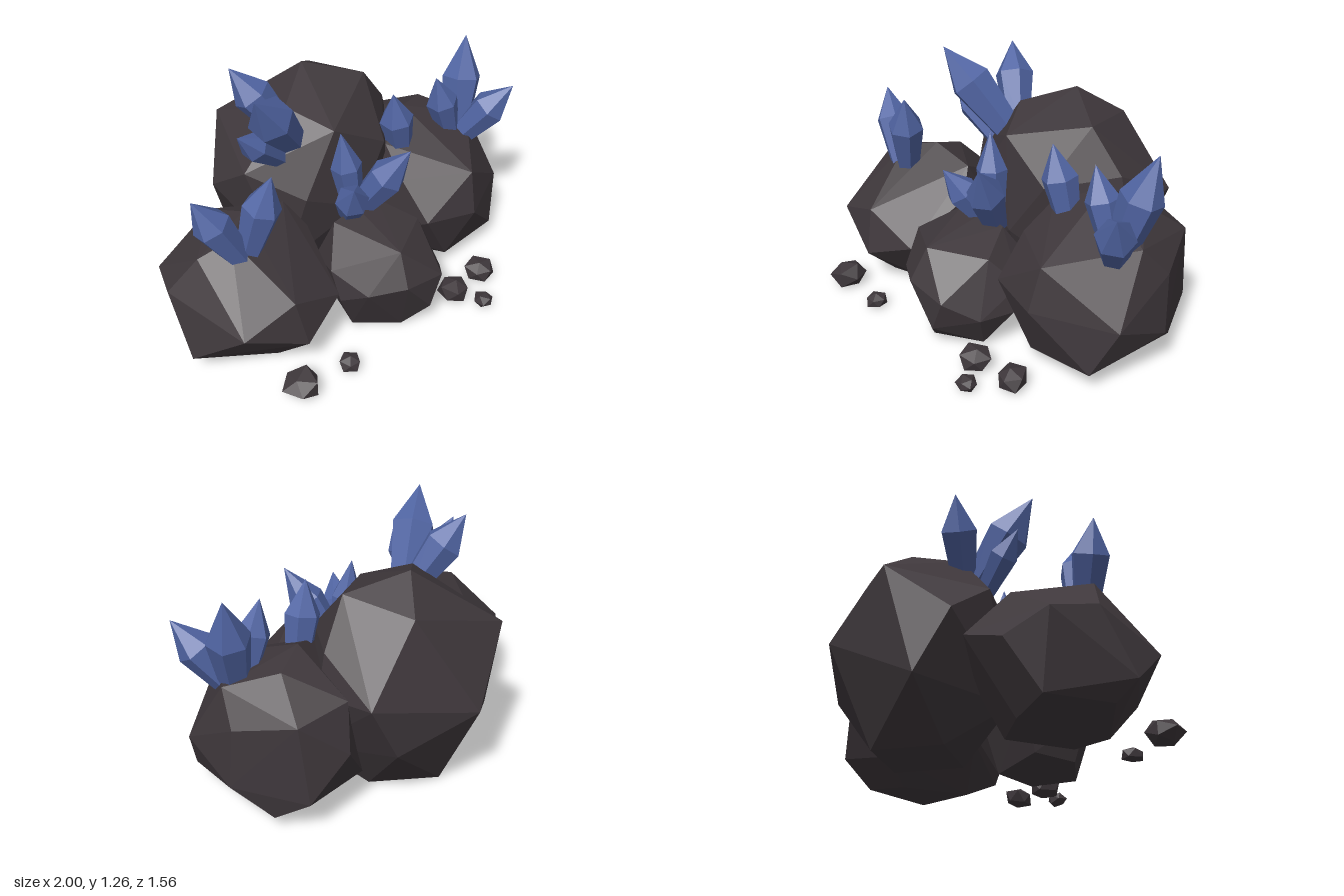
import * as THREE from 'three';
import { ConvexGeometry } from 'three/addons/geometries/ConvexGeometry.js';

const rockMat = new THREE.MeshStandardMaterial({ name: 'dark stone', color: 0x3e373b });
const crystalMat = new THREE.MeshStandardMaterial({ name: 'blue crystal', color: 0x5064a2 });

// Large faceted stone: the hull of its corner points
function boulder(name, corners) {
  const mesh = new THREE.Mesh(new ConvexGeometry(corners.map((c) => new THREE.Vector3(...c))), rockMat);
  mesh.name = name;
  return mesh;
}

// Small uneven stone lying on the ground
function pebble(x, z, r, height, turn) {
  const geo = new THREE.IcosahedronGeometry(1, 0);
  geo.rotateX(turn).rotateY(turn * 2 + 0.4);
  const pos = geo.attributes.position;
  for (let i = 0; i < pos.count; i++) {
    const v = new THREE.Vector3().fromBufferAttribute(pos, i);
    v.multiplyScalar(1 + 0.12 * Math.sin(v.x * 5 + v.y * 7 + v.z * 4 + x * 9));
    pos.setXYZ(i, x + v.x * r, Math.max(0, (v.y * 0.55 + 0.45) * height), z + v.z * r);
  }
  geo.computeVertexNormals();
  const mesh = new THREE.Mesh(geo, rockMat);
  mesh.name = 'pebble';
  return mesh;
}

// Six-sided crystal that swells from its root and ends in a point
function crystal(root, tip, radius) {
  const a = new THREE.Vector3(...root);
  const dir = new THREE.Vector3(...tip).sub(a);
  const length = dir.length();
  const profile = [[0, 0], [radius * 0.65, 0], [radius, length * 0.6], [0, length]]
    .map(([x, y]) => new THREE.Vector2(x, y));
  const geo = new THREE.LatheGeometry(profile, 6).toNonIndexed();
  geo.computeVertexNormals();
  const mesh = new THREE.Mesh(geo, crystalMat);
  mesh.name = 'crystal';
  mesh.position.copy(a);
  mesh.quaternion.setFromUnitVectors(new THREE.Vector3(0, 1, 0), dir.normalize());
  return mesh;
}

export function createModel() {
  const model = new THREE.Group();
  model.name = 'crystalRocks';

  // Boulders, corners listed from the crown down to the ground
  model.add(
    boulder('backBoulder', [
      [0.12, 1.1, -0.36], [0.38, 1.02, -0.17], [-0.12, 1, -0.2], [0.3, 0.97, -0.52],
      [0, 0.92, 0.03], [0.55, 0.8, -0.2], [-0.21, 0.8, -0.67], [0.3, 0.75, 0.08],
      [-0.39, 0.72, -0.2], [0.61, 0.64, -0.52], [0.6, 0.6, -0.2], [-0.2, 0.6, 0.05],
      [-0.43, 0.55, -0.43], [0.13, 0.5, -0.78], [0.1, 0.45, 0.11],
      [0.48, 0.35, -0.57], [-0.3, 0.25, -0.55], [0.5, 0.2, -0.05], [-0.28, 0.2, -0.02],
      [0.1, 0, -0.55], [0.35, 0, -0.3], [-0.15, 0, -0.3], [0.1, 0, -0.05]]),
    boulder('rightBoulder', [
      [-0.55, 0.69, 0], [-0.7, 0.66, 0.1], [-0.31, 0.63, 0], [-0.86, 0.6, 0.05],
      [-0.6, 0.6, -0.22], [-0.24, 0.5, 0.1], [-0.6, 0.43, 0.44], [-0.99, 0.42, -0.03],
      [-0.91, 0.4, -0.23], [-0.47, 0.4, -0.39], [-0.87, 0.33, 0.4], [-0.73, 0.3, -0.35],
      [-0.31, 0.3, 0.42], [-0.27, 0.25, -0.2], [-0.57, 0.2, 0.5], [-0.23, 0.2, 0.1],
      [-1, 0.12, 0.15], [-0.8, 0.05, -0.2], [-0.9, 0.03, 0.1],
      [-0.6, 0, 0.3], [-0.4, 0, 0.25], [-0.35, 0, -0.1], [-0.6, 0, -0.2]]),
    boulder('leftBoulder', [
      [0.56, 0.8, -0.05], [0.75, 0.76, -0.12], [0.34, 0.7, 0.05], [0.91, 0.68, 0.1],
      [0.6, 0.64, -0.38], [0.86, 0.6, -0.31], [0.6, 0.6, 0.43], [0.3, 0.58, 0.22],
      [0.98, 0.53, -0.02], [0.27, 0.5, -0.1], [0.65, 0.4, -0.43], [0.31, 0.4, 0.41],
      [0.58, 0.38, 0.49], [0.96, 0.35, 0.3], [1, 0.22, 0], [0.85, 0.2, -0.36],
      [0.25, 0.2, 0.1], [0.86, 0.11, 0.38], [0.5, 0.08, 0.38], [0.4, 0.1, -0.3],
      [0.9, 0.07, -0.18], [0.8, 0, 0.1], [0.5, 0, 0.2], [0.55, 0, -0.15]]),
    boulder('frontBoulder', [
      [0, 0.55, 0.2], [-0.15, 0.53, 0.2], [0.14, 0.53, 0.2], [-0.03, 0.49, 0.55],
      [0.24, 0.47, 0.4], [-0.31, 0.41, 0.36], [0.35, 0.33, 0.3], [-0.06, 0.33, 0.64],
      [-0.22, 0.3, 0.53], [0.17, 0.3, 0.65], [-0.2, 0.3, 0.12], [0.1, 0.3, 0.04],
      [0.3, 0.3, 0.1], [-0.3, 0.25, 0.42], [0.36, 0.2, 0.35], [0.3, 0.2, 0.52],
      [0.1, 0.13, 0.65], [-0.15, 0.05, 0.2], [-0.2, 0.02, 0.4], [0.25, 0.02, 0.45],
      [0, 0, 0.55], [0.1, 0, 0.15]]));

  // Pebbles: x, z, radius, height
  [[-0.675, 0.56, 0.095, 0.13], [-0.395, 0.6, 0.06, 0.075], [0.345, 0.595, 0.085, 0.12],
    [0.425, 0.735, 0.055, 0.07], [0.565, 0.575, 0.08, 0.11]]
    .forEach((p, i) => model.add(pebble(...p, i)));

  // Crystal clusters: root, tip, radius
  const clusters = {
    rightCrystals: [
      [[-0.68, 0.57, 0.14], [-0.87, 0.94, 0.06], 0.095],
      [[-0.63, 0.58, 0.14], [-0.54, 1.01, 0.22], 0.095]],
    backCrystals: [
      [[-0.13, 0.84, -0.14], [-0.46, 1.26, 0.01], 0.115],
      [[-0.13, 0.87, -0.19], [-0.33, 1.23, -0.36], 0.1],
      [[-0.22, 0.78, -0.13], [-0.49, 1.03, -0.1], 0.075]],
    frontCrystals: [
      [[0.03, 0.48, 0.15], [-0.03, 0.96, 0.11], 0.08],
      [[0.04, 0.48, 0.15], [0.17, 0.91, 0.39], 0.095],
      [[0, 0.48, 0.15], [-0.14, 0.79, 0.33], 0.085]],
    singleCrystal: [
      [[0.45, 0.6, 0.06], [0.35, 1.01, 0.08], 0.09]],
    leftCrystals: [
      [[0.76, 0.62, 0.12], [0.63, 1.01, 0.11], 0.085],
      [[0.79, 0.6, 0.13], [0.92, 1.13, 0.04], 0.105],
      [[0.79, 0.6, 0.15], [0.95, 0.95, 0.36], 0.095]],
  };
  for (const [name, list] of Object.entries(clusters)) {
    const group = new THREE.Group();
    group.name = name;
    list.forEach((c) => group.add(crystal(...c)));
    model.add(group);
  }
  return model;
}
